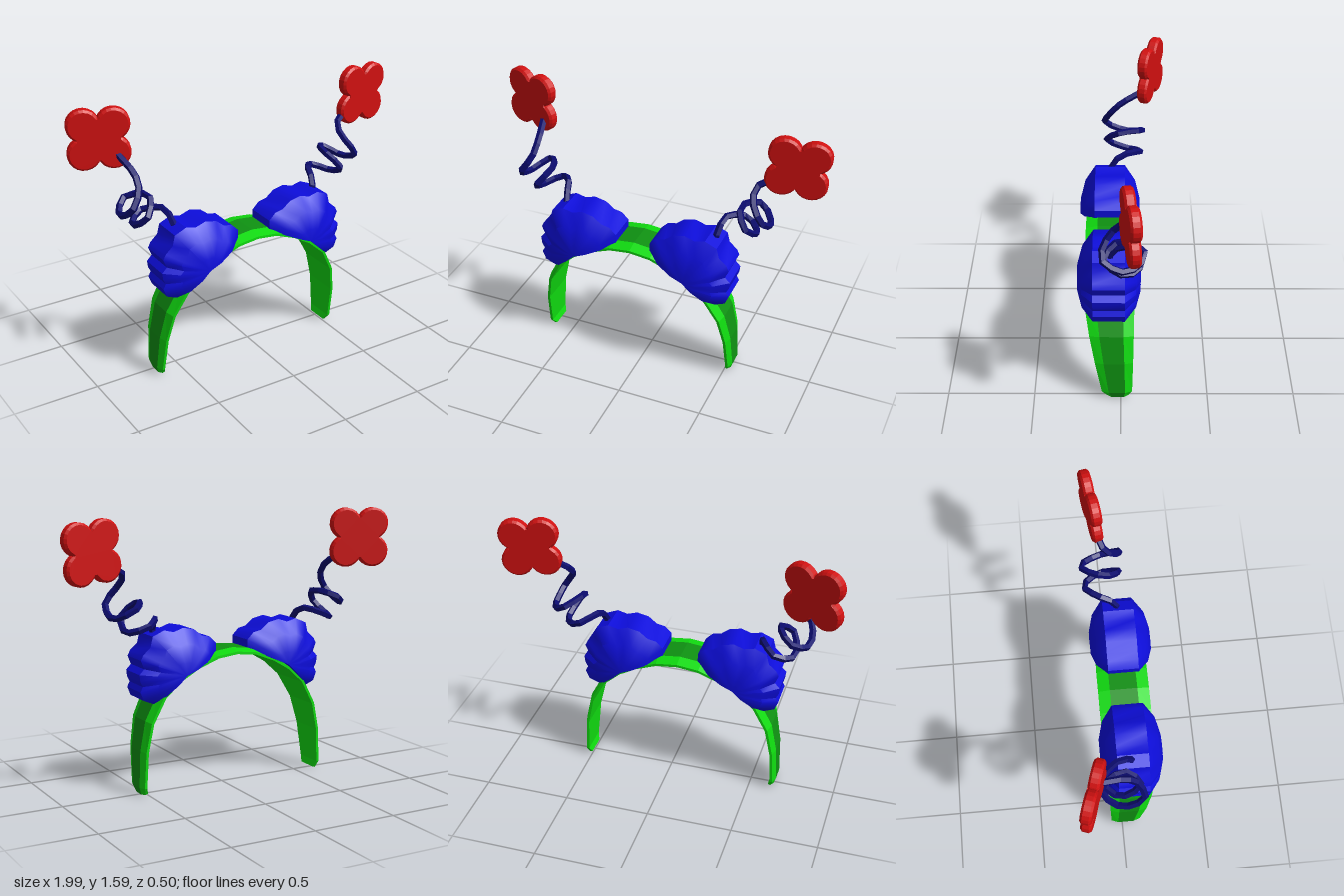
import * as THREE from 'three';
import { toCreasedNormals } from 'three/addons/utils/BufferGeometryUtils.js';

const mat = (name, color) => {
  const m = new THREE.MeshStandardMaterial({ color });
  m.name = name;
  return m;
};

// Joins equal rings of points into a closed solid; faces of ring edge `special` use material 1
function loft(rings, special = -1) {
  const lists = [[], []];
  const tri = (k, ...pts) => pts.forEach((p) => lists[k].push(p.x, p.y, p.z));
  const n = rings[0].length;
  for (let i = 0; i < rings.length - 1; i++) {
    for (let j = 0; j < n; j++) {
      const k = j === special ? 1 : 0, j2 = (j + 1) % n;
      const a = rings[i][j], b = rings[i][j2], c = rings[i + 1][j2], d = rings[i + 1][j];
      tri(k, a, d, c);
      tri(k, a, c, b);
    }
  }
  const first = rings[0], last = rings[rings.length - 1];
  for (let j = 1; j < n - 1; j++) {
    tri(0, first[0], first[j], first[j + 1]);
    tri(0, last[0], last[j + 1], last[j]);
  }
  const geo = new THREE.BufferGeometry();
  geo.setAttribute('position', new THREE.Float32BufferAttribute(lists[0].concat(lists[1]), 3));
  geo.addGroup(0, lists[0].length / 3, 0);
  if (lists[1].length) geo.addGroup(lists[0].length / 3, lists[1].length / 3, 1);
  geo.computeVertexNormals();
  return geo;
}

export function createModel() {
  const model = new THREE.Group();
  model.name = 'headband';
  const green = mat('brightGreen', 0x10dc10);
  const darkGreen = mat('darkGreen', 0x0f9212);
  const blue = mat('blue', 0x0d0ddc);
  const navy = mat('navy', 0x0c0c70);
  const red = mat('red', 0xd01010);
  const add = (name, geo, material) => {
    const mesh = new THREE.Mesh(geo, material);
    mesh.name = name;
    model.add(mesh);
    return mesh;
  };
  const cx = -0.055;

  // Band: half arch as [offset from centre, height, front z, back z]
  const half = [
    [0, 0.805, 0.205, -0.09], [0.13, 0.79, 0.205, -0.09], [0.26, 0.74, 0.205, -0.087],
    [0.37, 0.675, 0.205, -0.08], [0.475, 0.58, 0.203, -0.076], [0.555, 0.43, 0.178, -0.073],
    [0.59, 0.26, 0.148, -0.07], [0.6, 0.05, 0.11, -0.065], [0.585, 0.005, 0.08, -0.045],
  ];
  const arch = [...half.slice(1).reverse().map(([u, ...r]) => [-u, ...r]), ...half];
  const bandRings = arch.map(([u, y, zf, zb], i) => {
    const p = arch[Math.max(i - 1, 0)], q = arch[Math.min(i + 1, arch.length - 1)];
    const t = new THREE.Vector2(q[0] - p[0], q[1] - p[1]).normalize();
    const at = (depth, z) => new THREE.Vector3(cx + u + t.y * depth, y - t.x * depth, z);
    const w = (zf - zb) * 0.23;
    return [at(0.03, zb), at(0.03, zf), at(0.015, zf), at(0, zf - w), at(0, zb + w), at(0.015, zb)];
  });
  add('band', loft(bandRings, 3), [green, darkGreen]);

  // Scalloped puffs sitting on the band
  const outline = [
    [0.05, 0.785], [0.05, 0.84], [0.09, 0.88], [0.14, 0.89], [0.19, 0.93], [0.26, 0.945],
    [0.32, 0.925], [0.38, 0.94], [0.45, 0.91], [0.465, 0.85], [0.51, 0.81], [0.525, 0.78],
    [0.505, 0.73], [0.535, 0.7], [0.53, 0.66], [0.515, 0.63], [0.53, 0.6], [0.51, 0.55], [0.45, 0.525],
  ];
  const slices = [[-1, 0.3], [-0.85, 0.68], [-0.5, 1], [0.5, 1], [0.85, 0.68], [1, 0.3]];
  const puff = (name, mirrored) => {
    const place = (x) => (mirrored ? 2 * cx - x : x);
    const edge = mirrored ? [...outline].reverse() : outline;
    const c = [0.28, 0.685];
    const rings = slices.map(([z, s]) => [c, ...edge].map(([x, y]) => new THREE.Vector3(
      place(c[0] + (x - c[0]) * s), c[1] + (y - c[1]) * s, 0.067 + 0.178 * z)));
    add(name, toCreasedNormals(loft(rings), 0.6), blue);
  };
  puff('leftPuff', false);
  puff('rightPuff', true);

  // Coiled springs, two turns each
  const coil = [
    [0.4, 0.88, 0.06], [0.42, 0.96, 0.05], [0.435, 1.01, -0.02], [0.53, 0.98, -0.12],
    [0.62, 0.95, -0.03], [0.585, 1.03, 0.09], [0.525, 1.11, 0], [0.61, 1.08, -0.13],
    [0.695, 1.03, -0.03], [0.68, 1.1, 0.1], [0.62, 1.19, 0.07], [0.61, 1.26, 0.01],
  ];
  const spring = (name, mirrored, end) => {
    const pts = [...coil.map(([x, y, z]) => new THREE.Vector3(mirrored ? -0.1 - x : x, y - (mirrored ? 0.01 : 0), z)),
      new THREE.Vector3(...end)];
    const geo = new THREE.TubeGeometry(new THREE.CatmullRomCurve3(pts), 26, 0.02, 5).toNonIndexed();
    geo.computeVertexNormals();
    add(name, geo, navy);
  };
  spring('leftSpring', false, [0.72, 1.33, -0.04]);
  spring('rightSpring', true, [-0.74, 1.33, -0.14]);

  // Four-petal flowers: arcs of four overlapping circles, bevelled
  const c = 0.081, r = 0.092;
  const sweep = Math.PI / 4 + Math.acos(-Math.sqrt(1 - (c / r) ** 2)) - Math.PI / 2 + Math.PI / 4;
  const petals = new THREE.Shape();
  for (let k = 0; k < 4; k++) {
    const a = Math.PI / 4 + (k * Math.PI) / 2;
    petals.absarc(Math.cos(a) * c * Math.SQRT2, Math.sin(a) * c * Math.SQRT2, r, a - sweep, a + sweep, false);
  }
  const flowerGeo = new THREE.ExtrudeGeometry(petals, {
    depth: 0.036, curveSegments: 7, bevelEnabled: true, bevelSegments: 1,
    bevelThickness: 0.012, bevelSize: 0.012, bevelOffset: -0.012,
  });
  flowerGeo.translate(0, 0, -0.018);
  const flower = (name, pos, yaw, roll) => {
    const mesh = add(name, flowerGeo, red);
    mesh.position.set(...pos);
    mesh.rotation.set(0, yaw, roll);
  };
  flower('leftFlower', [0.82, 1.4, -0.05], 0.17, -0.08);
  flower('rightFlower', [-0.825, 1.42, -0.175], -0.33, 0);

  return model;
}
